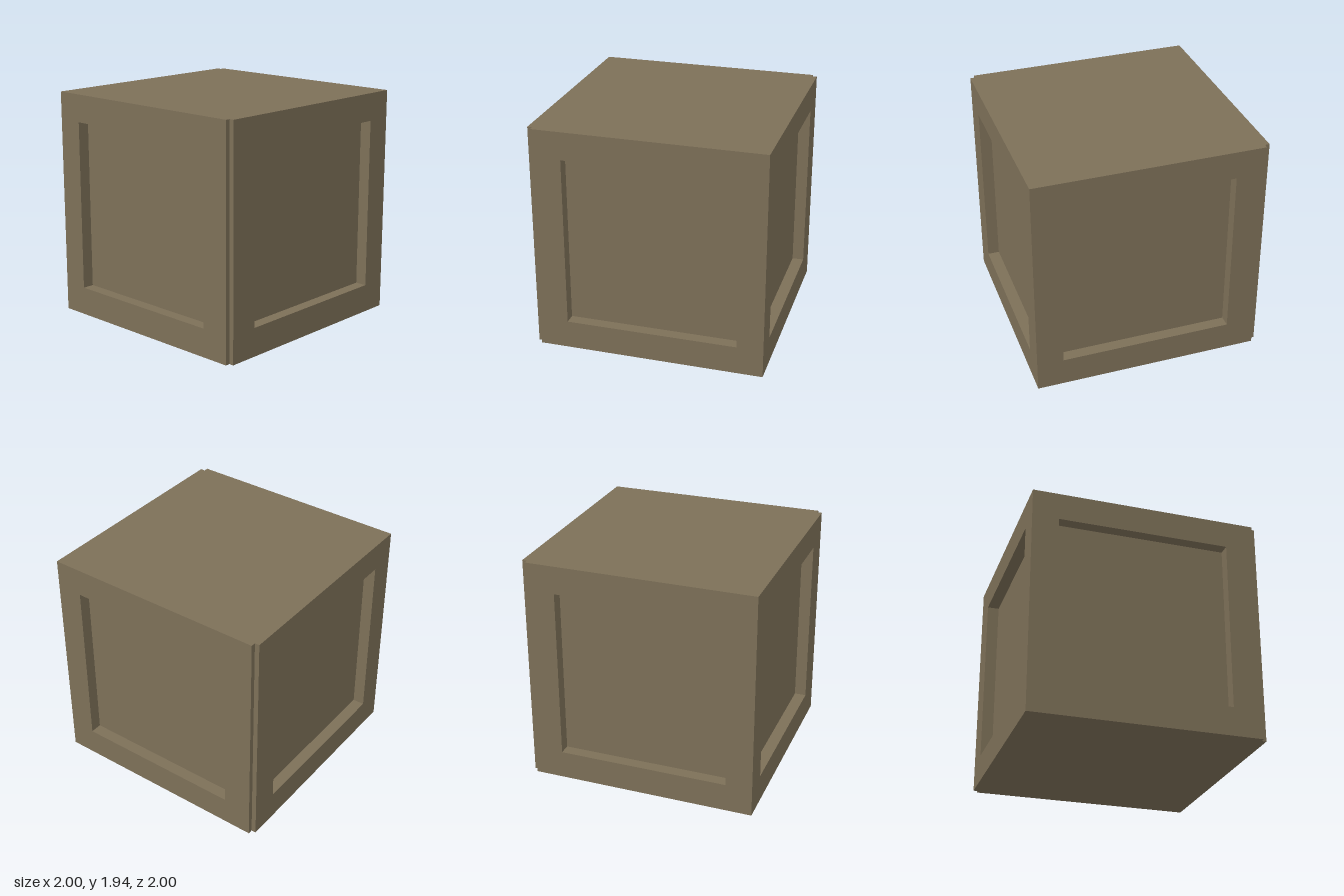
import * as THREE from 'three';

const H = 1.942;               // crate height
const A = 0.982, B = 0.942;    // outer half width, half width at the notched corners
const Y0 = 0.243, Y1 = 1.705;  // recess bottom and top
const DEPTH = 0.1;             // recess depth

const wood = new THREE.MeshStandardMaterial({ color: 0x7d7058, flatShading: true });

function add(parent, name, geometry) {
  const mesh = new THREE.Mesh(geometry, wood);
  mesh.name = name;
  parent.add(mesh);
  return mesh;
}

// One crate side facing +z; flip mirrors it so the notch falls on its other end
function makeSide(name, flip) {
  const side = new THREE.Group();
  side.name = name;
  const range = (a, b) => (flip ? [-b, -a] : [a, b]);
  const [x0, x1] = range(-A, B);
  const [r0, r1] = range(-0.758, 0.698);
  const w = r1 - r0, h = Y1 - Y0, cx = (r0 + r1) / 2, cy = (Y0 + Y1) / 2;

  // Frame with a rectangular opening
  const frame = new THREE.Shape([[x0, 0], [x1, 0], [x1, H], [x0, H]].map(p => new THREE.Vector2(...p)));
  frame.holes.push(new THREE.Path([[r0, Y0], [r0, Y1], [r1, Y1], [r1, Y0]].map(p => new THREE.Vector2(...p))));
  add(side, 'frame', new THREE.ShapeGeometry(frame)).position.z = A;

  // Sunken panel and the four walls around it
  add(side, 'panel', new THREE.PlaneGeometry(w, h)).position.set(cx, cy, A - DEPTH);
  const zMid = A - DEPTH / 2;
  for (const s of [-1, 1]) {
    const jamb = add(side, 'recessJamb', new THREE.PlaneGeometry(DEPTH, h));
    jamb.position.set(cx + s * w / 2, cy, zMid);
    jamb.rotation.y = -s * Math.PI / 2;
    const ledge = add(side, 'recessLedge', new THREE.PlaneGeometry(w, DEPTH));
    ledge.position.set(cx, cy + s * h / 2, zMid);
    ledge.rotation.x = s * Math.PI / 2;
  }

  // Narrow return into the corner notch
  const end = flip ? -1 : 1;
  const edge = add(side, 'notchEdge', new THREE.PlaneGeometry(A - B, H));
  edge.position.set(end * B, H / 2, (A + B) / 2);
  edge.rotation.y = end * Math.PI / 2;
  return side;
}

export function createModel() {
  const model = new THREE.Group();
  model.name = 'crate';
  const body = new THREE.Group();
  body.name = 'crateBody';
  body.rotation.y = 0.018;     // the crate sits slightly turned
  model.add(body);

  // Four recessed sides
  ['frontSide', 'rightSide', 'backSide', 'leftSide'].forEach((name, i) => {
    const side = makeSide(name, i % 2 === 1);
    side.rotation.y = i * Math.PI / 2;
    body.add(side);
  });

  // Lid and base share an outline with two opposite notched corners
  const outline = new THREE.Shape(
    [[-A, -A], [B, -A], [B, -B], [A, -B], [A, A], [-B, A], [-B, B], [-A, B]].map(p => new THREE.Vector2(...p)));
  const cap = new THREE.ShapeGeometry(outline).rotateX(-Math.PI / 2);
  add(body, 'lid', cap).position.y = H;
  add(body, 'base', cap.clone().rotateX(Math.PI).rotateY(Math.PI / 2));
  return model;
}
